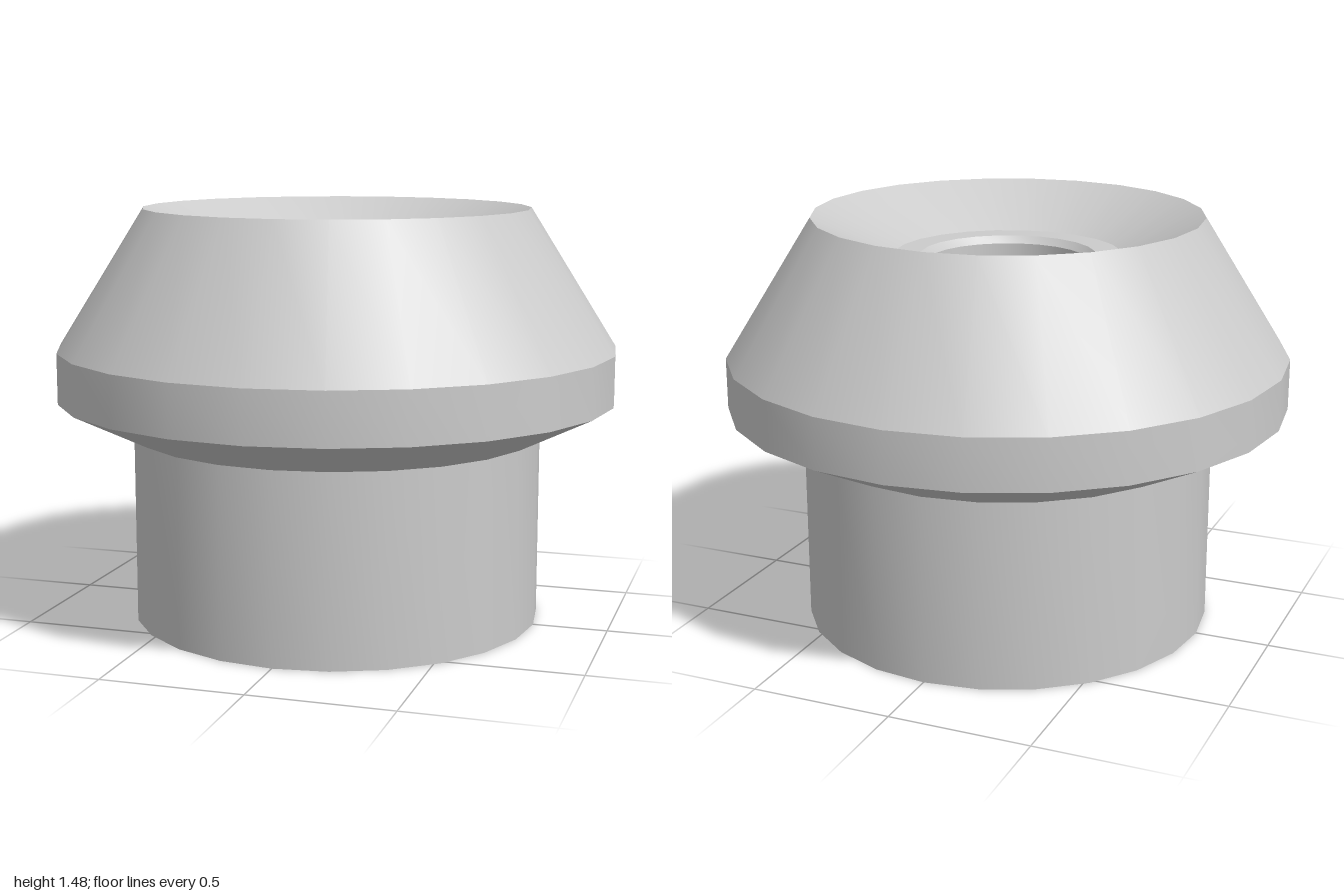
import * as THREE from 'three';
import { toCreasedNormals } from 'three/addons/utils/BufferGeometryUtils.js';

const SIDES = 24;
const material = new THREE.MeshStandardMaterial({ color: 0xcccccc });

// Revolves a [radius, height] profile; smooth around, sharp at profile corners
function turned(name, profile) {
  const points = profile.map(([r, y]) => new THREE.Vector2(r, y));
  const geometry = toCreasedNormals(new THREE.LatheGeometry(points, SIDES), 0.3);
  const mesh = new THREE.Mesh(geometry, material);
  mesh.name = name;
  return mesh;
}

export function createModel() {
  const group = new THREE.Group();
  group.name = 'flangedBushing';

  // Straight lower sleeve with its flat annular base
  group.add(turned('sleeve', [[0.31, 0], [0.735, 0], [0.735, 0.67]]));

  // Wide collar: sloped underside, vertical band, tapered shoulder
  group.add(turned('collar', [[0.735, 0.67], [1, 0.8], [1, 0.98], [0.69, 1.475]]));

  // Conical recess with a flat seat around the hole
  group.add(turned('dishedTop', [[0.69, 1.475], [0.405, 1.33], [0.31, 1.33]]));

  // Through hole, chamfered at both ends
  group.add(turned('bore', [[0.31, 1.33], [0.287, 1.305], [0.287, 0.025], [0.31, 0]]));

  return group;
}
